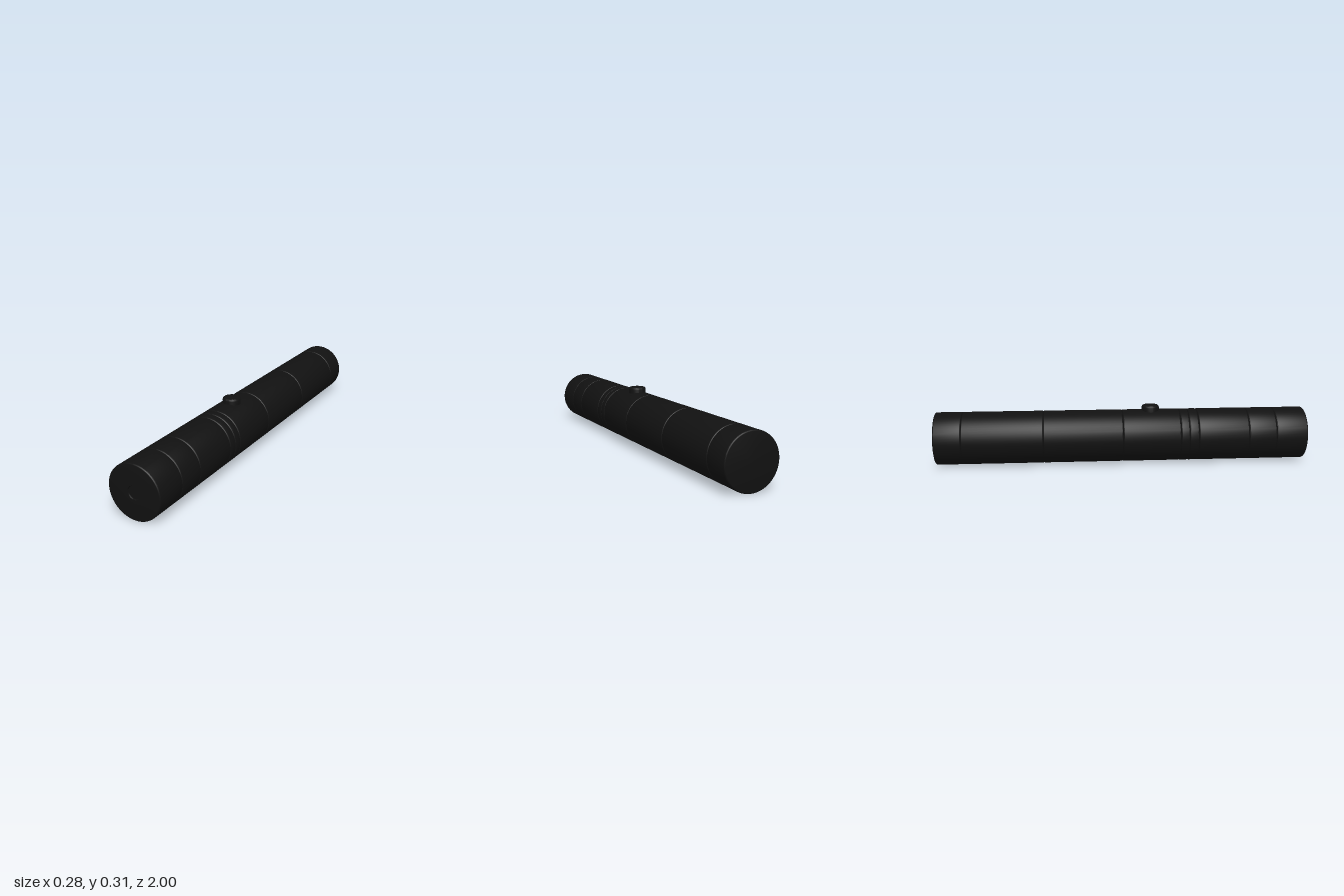
import * as THREE from 'three';
import { toCreasedNormals } from 'three/addons/utils/BufferGeometryUtils.js';

const R = 0.141;      // barrel radius
const BEVEL = 0.006;  // rounded edge of each barrel section

export function createModel() {
  const group = new THREE.Group();
  const black = new THREE.MeshStandardMaterial({ color: 0x111111 });

  // Revolve [radius, height] pairs, listed from bottom to top
  const lathe = (name, profile, segments) => {
    const points = profile.map(([r, h]) => new THREE.Vector2(r, h));
    const geometry = toCreasedNormals(new THREE.LatheGeometry(points, segments), 0.6);
    const mesh = new THREE.Mesh(geometry, black);
    mesh.name = name;
    group.add(mesh);
    return mesh;
  };

  // Quarter-round edge, from the side wall in to the end face
  const roundEdge = (radius, end, bevel, dir) => [0, 1, 2, 3].map((i) => {
    const a = (i / 3) * Math.PI / 2;
    return [radius - bevel + bevel * Math.cos(a), end + dir * bevel * (Math.sin(a) - 1)];
  });

  // Barrel sections from back to front, meeting at fine grooves
  const sections = [
    ['tailCap', -1, -0.855], ['rearGrip', -0.855, -0.425], ['frontGrip', -0.425, 0],
    ['switchHousing', 0, 0.31], ['rearRing', 0.31, 0.357], ['frontRing', 0.357, 0.407],
    ['neck', 0.407, 0.68], ['headCollar', 0.68, 0.83], ['headCap', 0.83, 1],
  ];
  for (const [name, back, front] of sections) {
    // The head cap ends in a shallow round socket
    const end = name === 'headCap'
      ? [[0.035, front], [0.033, front - 0.006], [0, front - 0.006]]
      : [[0, front]];
    lathe(name, [
      [0, back],
      ...roundEdge(R, back, BEVEL, -1).reverse(),
      ...roundEdge(R, front, BEVEL, 1),
      ...end,
    ], 64).rotation.x = Math.PI / 2;
    group.children.at(-1).position.y = R;
  }

  // Push button on top of the switch housing
  const button = lathe('pushButton', [
    [0, 0.25], [0.047, 0.25], ...roundEdge(0.047, 0.309, 0.012, 1), [0, 0.309],
  ], 40);
  button.position.z = 0.155;

  return group;
}
